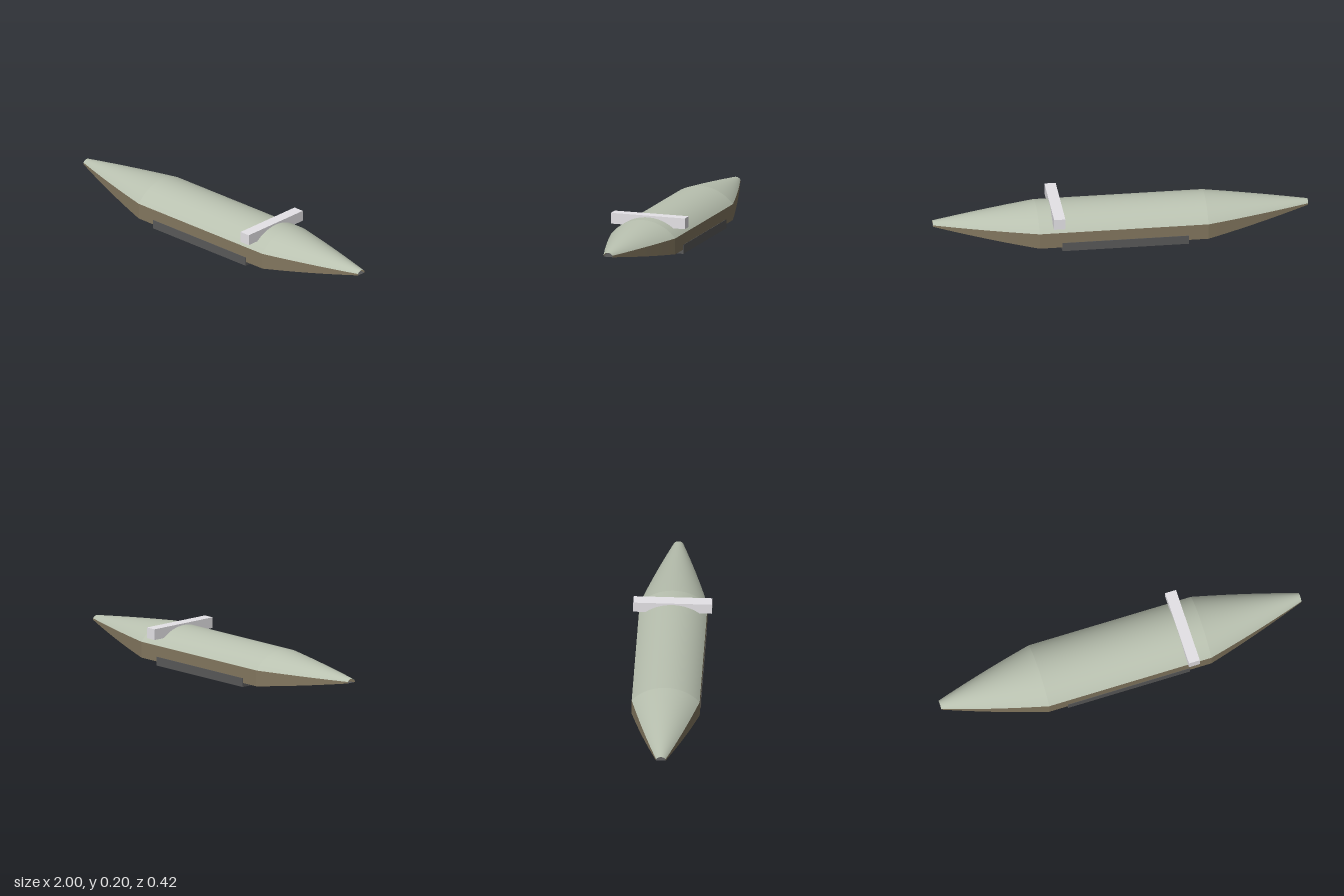
import * as THREE from 'three';

const mat = (name, color, side = THREE.DoubleSide) => {
  const m = new THREE.MeshStandardMaterial({ color, side });
  m.name = name;
  return m;
};

const TAPER = 0.45; // the hull is straight up to here, then narrows to the tip

// Hull measures at a station along x
function section(x) {
  const t = Math.max(0, (Math.abs(x) - TAPER) / (1 - TAPER));
  const k = t + 0.14 * t * (t - 1); // slightly bulging taper
  const mix = (a, b) => a + (b - a) * k;
  return { w: mix(0.18, 0.025), floor: mix(0.022, 0.108), seam: mix(0.108, 0.116), top: mix(0.194, 0.13) };
}

// Grid surface through point(x, v), for v from 0 to 1
function loft(x0, x1, nx, nv, point) {
  const pos = [], idx = [];
  for (let i = 0; i <= nx; i++) {
    const x = x0 + ((x1 - x0) * i) / nx;
    for (let j = 0; j <= nv; j++) pos.push(x, ...point(x, j / nv));
  }
  for (let i = 0; i < nx; i++) {
    for (let j = 0; j < nv; j++) {
      const a = i * (nv + 1) + j, b = a + nv + 1;
      idx.push(a, b, a + 1, b, b + 1, a + 1);
    }
  }
  const g = new THREE.BufferGeometry();
  g.setAttribute('position', new THREE.Float32BufferAttribute(pos, 3));
  g.setIndex(idx);
  g.computeVertexNormals();
  return g;
}

// Circular arc spanning the two seams; v = 0 is the back seam
function domePoint(x, v) {
  const s = section(x), h = s.top - s.seam;
  const half = 2 * Math.atan(h / s.w), r = s.w / Math.sin(half);
  const a = (v * 2 - 1) * half;
  return [s.top - r + r * Math.cos(a), r * Math.sin(a)];
}

function sidePoint(sign) {
  return (x, v) => {
    const s = section(x);
    const up = sign > 0 ? 1 - v : v;
    return [s.floor + (s.seam - s.floor) * up, sign * s.w];
  };
}

function floorPoint(x, v) {
  const s = section(x);
  return [s.floor, s.w * (1 - 2 * v)];
}

export function createModel() {
  const model = new THREE.Group();
  const sage = mat('sage canopy', 0xb9c1b0);
  const brown = mat('brown side', 0x83775f);
  const grey = mat('dark grey underside', 0x595959);
  const light = mat('light grey bar', 0xe5e3e7, THREE.FrontSide);
  const stripGrey = mat('mid grey strip', 0x949494);

  const add = (name, geometry, material) => {
    const mesh = new THREE.Mesh(geometry, material);
    mesh.name = name;
    model.add(mesh);
    return mesh;
  };
  const box = (name, material, x0, x1, y0, y1, z0, z1) =>
    add(name, new THREE.BoxGeometry(x1 - x0, y1 - y0, z1 - z0), material)
      .position.set((x0 + x1) / 2, (y0 + y1) / 2, (z0 + z1) / 2);

  // Hollow hull in three lengths, open at both tips
  const lengths = [['right', -1, -TAPER, 14], ['middle', -TAPER, TAPER, 1], ['left', TAPER, 1, 14]];
  for (const [part, x0, x1, n] of lengths) {
    add(part + 'Canopy', loft(x0, x1, n, 32, domePoint), sage);
    add(part + 'FrontSide', loft(x0, x1, n, 1, sidePoint(1)), brown);
    add(part + 'BackSide', loft(x0, x1, n, 1, sidePoint(-1)), brown);
    add(part + 'Floor', loft(x0, x1, n, 1, floorPoint), grey);
  }

  // Belly plate between the two skids
  box('bellyPlate', grey, -0.345, 0.33, 0.02, 0.024, -0.107, 0.107);
  box('frontSkid', grey, -0.345, 0.33, 0, 0.048, 0.107, 0.182);
  box('backSkid', grey, -0.345, 0.33, 0, 0.048, -0.182, -0.107);

  // Small slanted strips under the tapering ends, on opposite sides
  for (const s of [1, -1]) {
    const strip = loft(s * 0.455, s * 0.555, 2, 1, (x, v) =>
      [section(x).floor - 0.002, -s * (0.098 - 0.14 * (Math.abs(x) - 0.455) + 0.018 * v)]);
    // Keep the strip facing down on both ends
    if (s > 0) strip.scale(1, 1, 1);
    add(s > 0 ? 'leftBellyStrip' : 'rightBellyStrip', strip, stripGrey);
  }

  // Bar across the canopy
  box('crossbar', light, 0.317, 0.377, 0.145, 0.203, -0.208, 0.208);

  return model;
}
